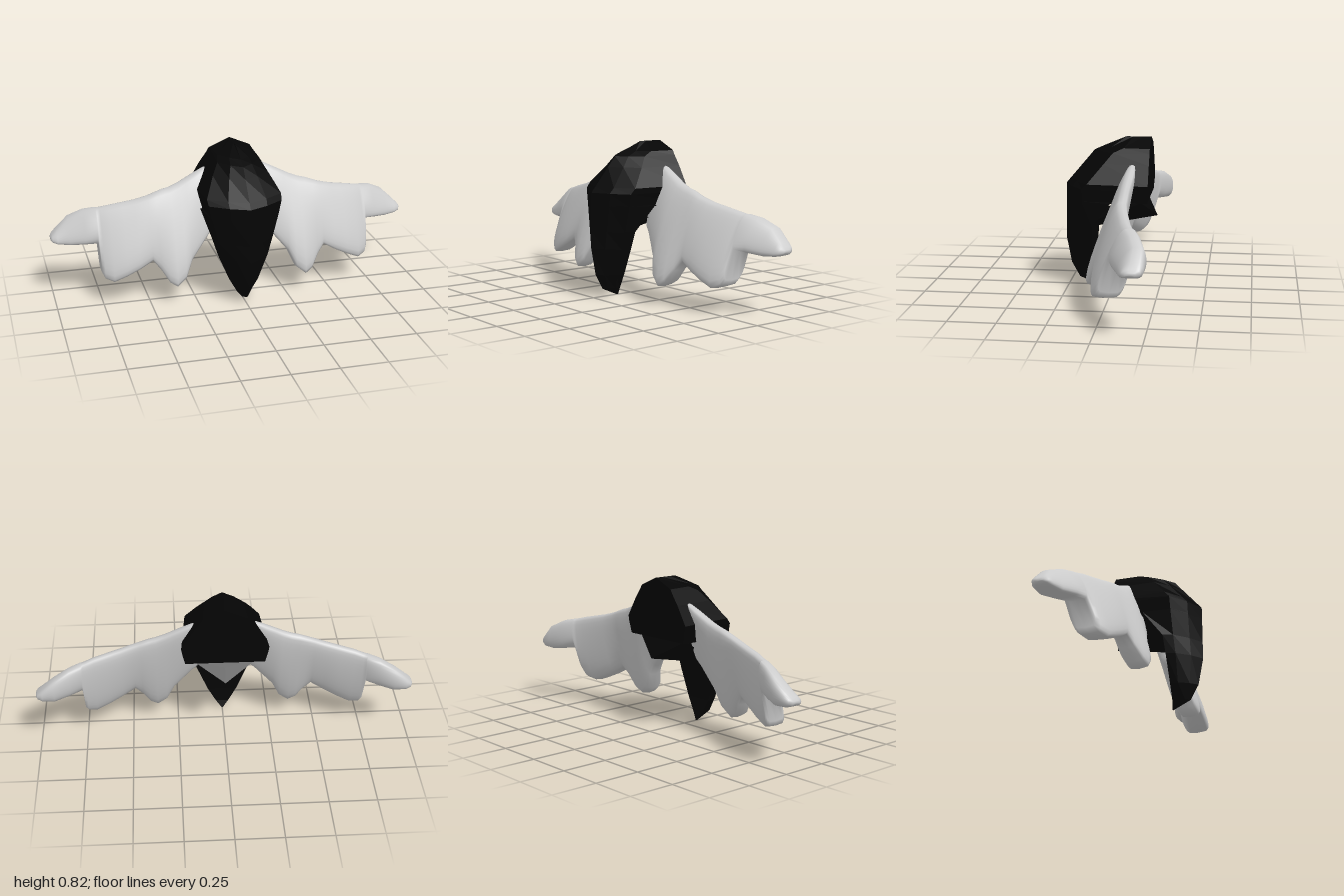
import * as THREE from 'three';

// Closed skin through a list of rings, each a loop of [x, y, z], with end caps.
function loft(rings) {
  const n = rings[0].length, pos = rings.flat(2), idx = [];
  for (let i = 0; i < rings.length - 1; i++) {
    for (let j = 0; j < n; j++) {
      const a = i * n + j, b = i * n + (j + 1) % n;
      idx.push(a, b, a + n, b, b + n, a + n);
    }
  }
  [0, rings.length - 1].forEach((r, end) => {
    const c = pos.length / 3;
    for (let k = 0; k < 3; k++) pos.push(rings[r].reduce((s, p) => s + p[k], 0) / n);
    for (let j = 0; j < n; j++) {
      const a = r * n + j, b = r * n + (j + 1) % n;
      if (end) idx.push(c, a, b); else idx.push(c, b, a);
    }
  });
  const g = new THREE.BufferGeometry();
  g.setAttribute('position', new THREE.Float32BufferAttribute(pos, 3));
  g.setIndex(idx);
  g.computeVertexNormals();
  return g;
}

// Linear interpolation through [input, output] pairs.
function along(table, x) {
  let i = 1;
  while (i < table.length - 1 && x > table[i][0]) i++;
  const [x0, y0] = table[i - 1], [x1, y1] = table[i];
  return y0 + (y1 - y0) * THREE.MathUtils.clamp((x - x0) / (x1 - x0), 0, 1);
}

// Body levels from crown to tip: y, half width, front z, back z
const BODY = [
  [0.828, 0.004, -0.065, -0.2], [0.78, 0.115, 0.05, -0.2], [0.755, 0.13, 0.105, -0.2],
  [0.70, 0.17, 0.151, -0.2], [0.60, 0.23, 0.235, -0.2], [0.57, 0.225, 0.26, -0.2],
  [0.505, 0.21, 0.261, -0.195], [0.50, 0.209, 0.261, 0], [0.365, 0.17, 0.262, 0.1],
  [0.27, 0.14, 0.263, 0.105], [0.125, 0.08, 0.235, 0.105], [0.045, 0.035, 0.19, 0.1],
  [0.003, 0.003, 0.095, 0.088],
];

// Front of a body cross-section: share of half width, distance behind the front
const FRONT = [[0.88, 0.11], [0.45, 0.045], [0, 0], [-0.45, 0.045], [-0.88, 0.11]];

function bodyGeometry() {
  return loft(BODY.map(([y, w, zf, zb]) => {
    const k = Math.min(1, (zf - zb) / 0.16);
    return [[w, y, zb], ...FRONT.map(([u, d]) => [u * w, y, zf - d * k]), [-w, y, zb]];
  }));
}

// Wing stations from root to tip: x, bottom y, top y, lower half thickness
const WING = [
  [0.14, 0.38, 0.71, 0.03], [0.17, 0.35, 0.70, 0.035], [0.22, 0.29, 0.675, 0.05],
  [0.27, 0.23, 0.65, 0.065], [0.31, 0.14, 0.63, 0.08], [0.36, 0.10, 0.61, 0.085],
  [0.40, 0.125, 0.60, 0.08], [0.44, 0.19, 0.585, 0.065], [0.48, 0.24, 0.57, 0.06],
  [0.55, 0.20, 0.55, 0.075], [0.62, 0.165, 0.535, 0.088], [0.69, 0.135, 0.52, 0.092],
  [0.735, 0.15, 0.508, 0.088], [0.75, 0.18, 0.505, 0.08], [0.757, 0.33, 0.504, 0.075],
  [0.82, 0.322, 0.49, 0.085], [0.90, 0.312, 0.45, 0.083], [0.965, 0.317, 0.39, 0.065],
  [0.99, 0.325, 0.365, 0.045], [1.0, 0.335, 0.352, 0.025],
];

// Backward sweep of the wing over its span
const SWEEP = [[0.14, -0.082], [0.36, -0.095], [0.5, -0.108], [0.7, -0.165], [0.92, -0.268], [1, -0.268]];

function wingGeometry(side) {
  const n = 28;
  return loft(WING.map(([x, yb, yt, tb]) => {
    const ring = [];
    for (let j = 0; j < n; j++) {
      const a = (j / n) * Math.PI * 2, s = Math.sin(a) * side;
      const v = (Math.cos(a) + 1) / 2;
      const y = yb + (yt - yb) * v;
      const t = THREE.MathUtils.lerp(tb, Math.min(tb, 0.045), v);
      // lower edge is fuller than the upper one
      const z = along(SWEEP, x) + 0.3 * (0.6 - y) + t * Math.sign(s) * Math.abs(s) ** (0.4 + 0.2 * v);
      ring.push([x * side, y, z]);
    }
    return ring;
  }));
}

export function createModel() {
  const group = new THREE.Group();
  const black = new THREE.MeshStandardMaterial({ color: 0x050505, flatShading: true });
  const grey = new THREE.MeshStandardMaterial({ color: 0xcccccc });
  const add = (name, geometry, material) => {
    const mesh = new THREE.Mesh(geometry, material);
    mesh.name = name;
    group.add(mesh);
  };

  add('body', bodyGeometry(), black);

  // V-shaped keel under the crown, pointing backwards
  add('keel', loft([
    [[-0.17, 0.5, -0.16], [0, 0.4, -0.235], [0.17, 0.5, -0.16]],
    [[-0.14, 0.39, 0.1], [0, 0.335, 0.09], [0.14, 0.39, 0.1]],
  ]), black);

  add('leftWing', wingGeometry(1), grey);
  add('rightWing', wingGeometry(-1), grey);
  return group;
}
